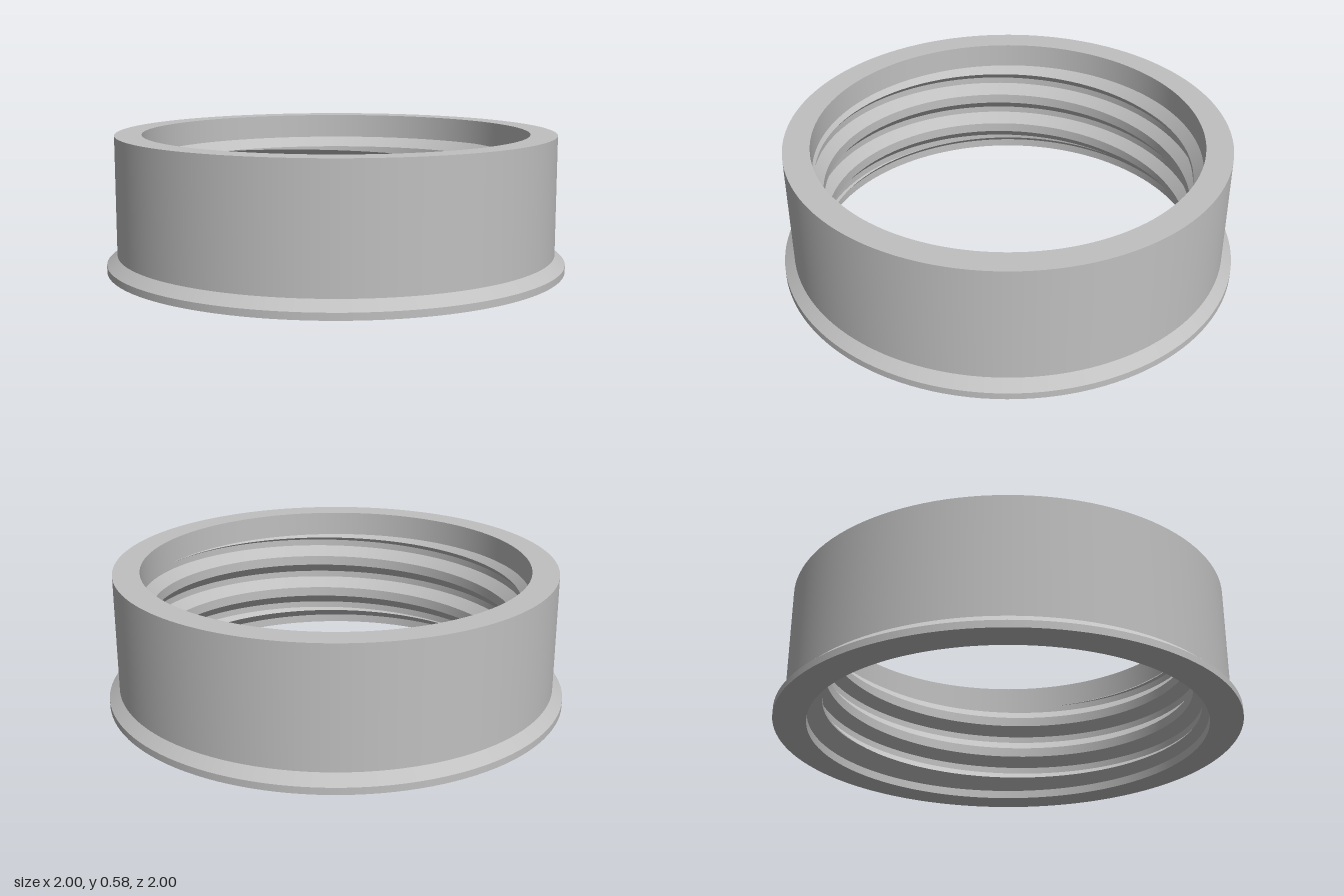
import * as THREE from 'three';
import { mergeGeometries } from 'three/addons/utils/BufferGeometryUtils.js';

const SEG = 128;                      // segments per turn
const ROOT = 0.84, CREST = 0.8;       // thread radii
const TOP = 0.475, BOTTOM = 0.06;     // where the thread fades out at root radius
const FLANK = 0.045, PITCH = 0.165;   // flank height, rise per turn
const SLOPE = (ROOT - CREST) / FLANK;
const clamp = THREE.MathUtils.clamp;

// Thread section [r, y] x 5 whose upper root edge is at height t,
// trimmed by the lead-in cones at the top and bottom of the bore
function threadSection(t) {
  const hi = TOP - FLANK, lo = BOTTOM + FLANK;
  let upper = t - FLANK, lower = t - 2 * FLANK, r = CREST;
  if (lower > hi) {
    r += SLOPE * (lower - hi) / 2;
    upper = lower = (lower + hi) / 2;
  } else if (upper < lo) {
    r += SLOPE * (lo - upper) / 2;
    upper = lower = (upper + lo) / 2;
  } else {
    upper = Math.min(upper, hi);
    lower = Math.max(lower, lo);
  }
  r = Math.min(r, ROOT);
  const y = v => clamp(v, BOTTOM, TOP);
  return [[ROOT, y(t)], [r, y(upper)], [r, y(lower)], [ROOT, y(t - 3 * FLANK)], [ROOT, y(t - PITCH)]];
}

// One helical strip between neighbouring section points, facing the axis
function threadStrip(k) {
  const position = [], index = [];
  const first = Math.floor(-1.69 * SEG), last = Math.ceil(1.85 * SEG);
  for (let i = first; i <= last; i++) {
    const section = threadSection(0.337 + PITCH * i / SEG);
    const a = (i / SEG + 0.625) * Math.PI * 2;
    for (const [r, y] of [section[k], section[k + 1]]) {
      position.push(r * Math.sin(a), y, r * Math.cos(a));
    }
    if (i < last) {
      const n = (i - first) * 2;
      index.push(n, n + 2, n + 3, n, n + 3, n + 1);
    }
  }
  const geo = new THREE.BufferGeometry();
  geo.setAttribute('position', new THREE.Float32BufferAttribute(position, 3));
  geo.setIndex(index);
  geo.computeVertexNormals();
  return geo;
}

export function createModel() {
  const group = new THREE.Group();
  group.name = 'threadedRing';
  const grey = new THREE.MeshStandardMaterial({ color: 0xc0c0c0 });
  grey.name = 'grey';

  const add = (name, geometries) => {
    const mesh = new THREE.Mesh(mergeGeometries(geometries), grey);
    mesh.name = name;
    group.add(mesh);
  };

  // Each profile segment is its own band, so corners stay sharp
  const bands = profile => profile.slice(1).map((p, i) =>
    new THREE.LatheGeometry([new THREE.Vector2(...profile[i]), new THREE.Vector2(...p)], SEG));

  // Lower bore relief, base and flared flange
  add('flange', bands([[ROOT, BOTTOM], [0.86, 0.0375], [0.86, 0], [1, 0], [1, 0.03], [0.955, 0.07]]));

  // Outer wall, flat top rim and plain upper bore
  add('collar', bands([[0.955, 0.07], [0.955, 0.585], [ROOT, 0.585], [ROOT, TOP]]));

  // Right-hand internal thread: upper flank, crest, lower flank, root
  add('internalThread', [0, 1, 2, 3].map(threadStrip));

  return group;
}
